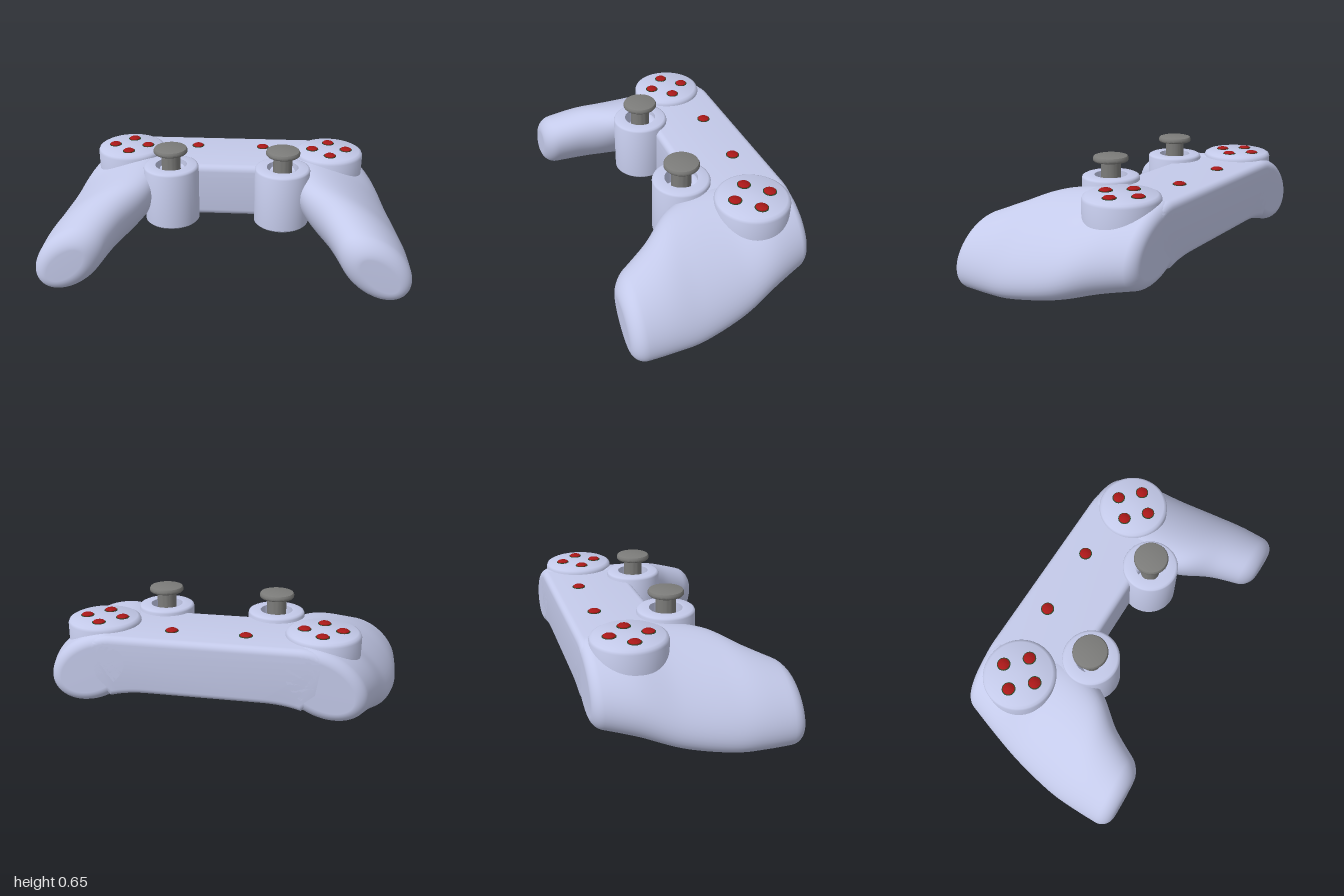
import * as THREE from 'three';
import { toCreasedNormals } from 'three/addons/utils/BufferGeometryUtils.js';

const shell = new THREE.MeshStandardMaterial({ color: 0xc4caea });
const red = new THREE.MeshStandardMaterial({ color: 0xaa1818 });
const rubber = new THREE.MeshStandardMaterial({ color: 0x7c7c7a });
const dark = new THREE.MeshStandardMaterial({ color: 0x2c4a2c });
const pale = new THREE.MeshStandardMaterial({ color: 0xffffff });

// Tilted ellipses along the grip: z, outer x, bottom y, long radius, short radius, tilt
const SECTIONS = [
  [-0.51, 0.812, 0.145, 0.24, 0.165, 30],
  [-0.3, 0.885, 0.1, 0.285, 0.18, 31.5],
  [-0.1, 0.945, 0.05, 0.342, 0.168, 34],
  [0.13, 0.99, 0.016, 0.337, 0.16, 37],
  [0.3, 1.0, 0.004, 0.272, 0.154, 41],
  [0.51, 0.998, 0, 0.203, 0.14, 42],
];
const CURVES = [1, 2, 3, 4, 5].map((k) => new THREE.SplineCurve(SECTIONS.map((s) => new THREE.Vector2(s[0], s[k]))));

// Ellipse centre, radii and tilt at a given z
function sectionAt(z) {
  let lo = 0, hi = 1;
  for (let i = 0; i < 30; i++) {
    const m = (lo + hi) / 2;
    if (CURVES[0].getPoint(m).x < z) lo = m; else hi = m;
  }
  const [outer, bottom, a, b, tilt] = CURVES.map((c) => c.getPoint(lo).y);
  const c = Math.cos(THREE.MathUtils.degToRad(tilt)), s = Math.sin(THREE.MathUtils.degToRad(tilt));
  return { cx: outer - Math.hypot(a * c, b * s), cy: bottom + Math.hypot(a * s, b * c), a, b, c, s };
}

function ellipsePoint({ cx, cy, a, b, c, s }, t, inset = 0) {
  const p = (a - inset) * Math.cos(t), q = (b - inset) * Math.sin(t);
  return [cx + p * c + q * s, cy - p * s + q * c];
}

// Grip lofted through the sections, with rounded ends
function gripGeometry(side) {
  const N = 56, M = 36, E = 8, rb = 0.05, rf = 0.075, rings = [];
  for (let i = 0; i <= E; i++) {
    const f = (i / E) * Math.PI / 2;
    rings.push({ z: -0.51 + rb * (1 - Math.cos(f)), inset: rb * (1 - Math.sin(f)) });
  }
  for (let i = 1; i < M; i++) rings.push({ z: THREE.MathUtils.lerp(-0.51 + rb, 0.51 - rf, i / M), inset: 0 });
  for (let i = E; i >= 0; i--) {
    const f = (i / E) * Math.PI / 2;
    rings.push({ z: 0.51 - rf * (1 - Math.cos(f)), inset: rf * (1 - Math.sin(f)) });
  }

  const pos = [], idx = [];
  const tri = (a, b, c) => (side > 0 ? idx.push(a, b, c) : idx.push(a, c, b));
  for (const { z, inset } of rings) {
    const sec = sectionAt(z);
    for (let j = 0; j < N; j++) {
      const [x, y] = ellipsePoint(sec, (j / N) * Math.PI * 2, inset);
      pos.push(side * x, y, z);
    }
  }
  for (let i = 0; i < rings.length - 1; i++) {
    for (let j = 0; j < N; j++) {
      const k = (j + 1) % N, a = i * N, b = a + N;
      tri(a + j, a + k, b + k);
      tri(a + j, b + k, b + j);
    }
  }
  // flat end caps
  for (const front of [false, true]) {
    const c = pos.length / 3, base = front ? (rings.length - 1) * N : 0;
    const z = front ? 0.51 : -0.51, { cx, cy } = sectionAt(z);
    pos.push(side * cx, cy, z);
    for (let j = 0; j < N; j++) {
      const k = (j + 1) % N;
      if (front) tri(c, base + j, base + k); else tri(c, base + k, base + j);
    }
  }
  const g = new THREE.BufferGeometry();
  g.setAttribute('position', new THREE.Float32BufferAttribute(pos, 3));
  g.setIndex(idx);
  g.computeVertexNormals();
  return g;
}

// Central body: front profile that flows into the grips, extruded with rounded edges
function bodyGeometry() {
  const s = new THREE.Shape();
  s.moveTo(-0.3, 0.21);
  s.lineTo(0.3, 0.21);
  s.quadraticCurveTo(0.41, 0.21, 0.5, 0.183);
  s.lineTo(0.6, 0.27);
  s.lineTo(0.63, 0.47);
  s.quadraticCurveTo(0.57, 0.52, 0.48, 0.52);
  s.lineTo(-0.48, 0.52);
  s.quadraticCurveTo(-0.57, 0.52, -0.63, 0.47);
  s.lineTo(-0.6, 0.27);
  s.lineTo(-0.5, 0.183);
  s.quadraticCurveTo(-0.41, 0.21, -0.3, 0.21);
  const r = 0.035;
  const g = new THREE.ExtrudeGeometry(s, {
    depth: 0.465 - 2 * r, bevelThickness: r, bevelSize: r, bevelOffset: -r, bevelSegments: 5, curveSegments: 12,
  });
  g.translate(0, 0, -0.51 + r);
  return toCreasedNormals(g, 0.6);
}

function lathe(points, segments = 48) {
  const g = new THREE.LatheGeometry(points.map(([x, y]) => new THREE.Vector2(x, y)), segments);
  return toCreasedNormals(g, 0.7);
}

export function createModel() {
  const model = new THREE.Group();
  model.name = 'gamepad';
  const add = (name, geometry, material, x = 0, y = 0, z = 0) => {
    const m = new THREE.Mesh(geometry, material);
    m.name = name;
    m.position.set(x, y, z);
    model.add(m);
    return m;
  };

  // Shared shapes
  const buttonPod = lathe([[0, 0.36], [0.195, 0.36], [0.195, 0.525], [0.189, 0.539], [0.175, 0.547], [0, 0.547]], 64);
  const stickPod = lathe([[0, 0.213], [0.145, 0.213], [0.154, 0.222], [0.154, 0.533], [0.15, 0.542], [0.14, 0.547],
    [0.088, 0.547], [0.088, 0.46], [0, 0.46]], 64);
  const stick = lathe([[0, 0.455], [0.053, 0.455], [0.053, 0.62], [0.089, 0.62], [0.094, 0.626], [0.094, 0.638],
    [0.089, 0.647], [0.08, 0.65], [0, 0.65]]);
  const button = lathe([[0, -0.01], [0.031, -0.01], [0.031, 0.006], [0.026, 0.01], [0, 0.011]], 24);
  const buttonGap = new THREE.CylinderGeometry(0.036, 0.036, 0.004, 24);
  const addButton = (name, x, y, z) => {
    add(name, button, red, x, y, z);
    add(name + 'Gap', buttonGap, dark, x, y, z);
  };

  add('body', bodyGeometry(), shell);

  const podX = 0.585, podZ = -0.275;
  for (const side of [1, -1]) {
    const label = side > 0 ? 'left' : 'right';
    add(label + 'Grip', gripGeometry(side), shell);

    // Round pod with four buttons in a cross
    add(label + 'ButtonPod', buttonPod, shell, side * podX, 0, podZ);
    for (let i = 0; i < 4; i++) {
      const a = (i * Math.PI) / 2;
      addButton(label + 'Button' + (i + 1), side * podX + 0.098 * Math.cos(a), 0.547, podZ + 0.098 * Math.sin(a));
    }
    addButton(label + 'MenuButton', side * 0.195, 0.52, -0.355);

    // Thumb stick in its hollow pod
    add(label + 'StickPod', stickPod, shell, side * 0.312, 0, 0);
    add(label + 'Stick', stick, rubber, side * 0.312, 0, 0);

    // Small screw recess under the grip
    const [x, y] = ellipsePoint(sectionAt(0), -0.9);
    const screw = add(label + 'ScrewHole', new THREE.CylinderGeometry(0.027, 0.027, 0.02, 20), pale, side * x, y + 0.006, 0);
    screw.rotation.z = -side * 0.3;
  }
  return model;
}
